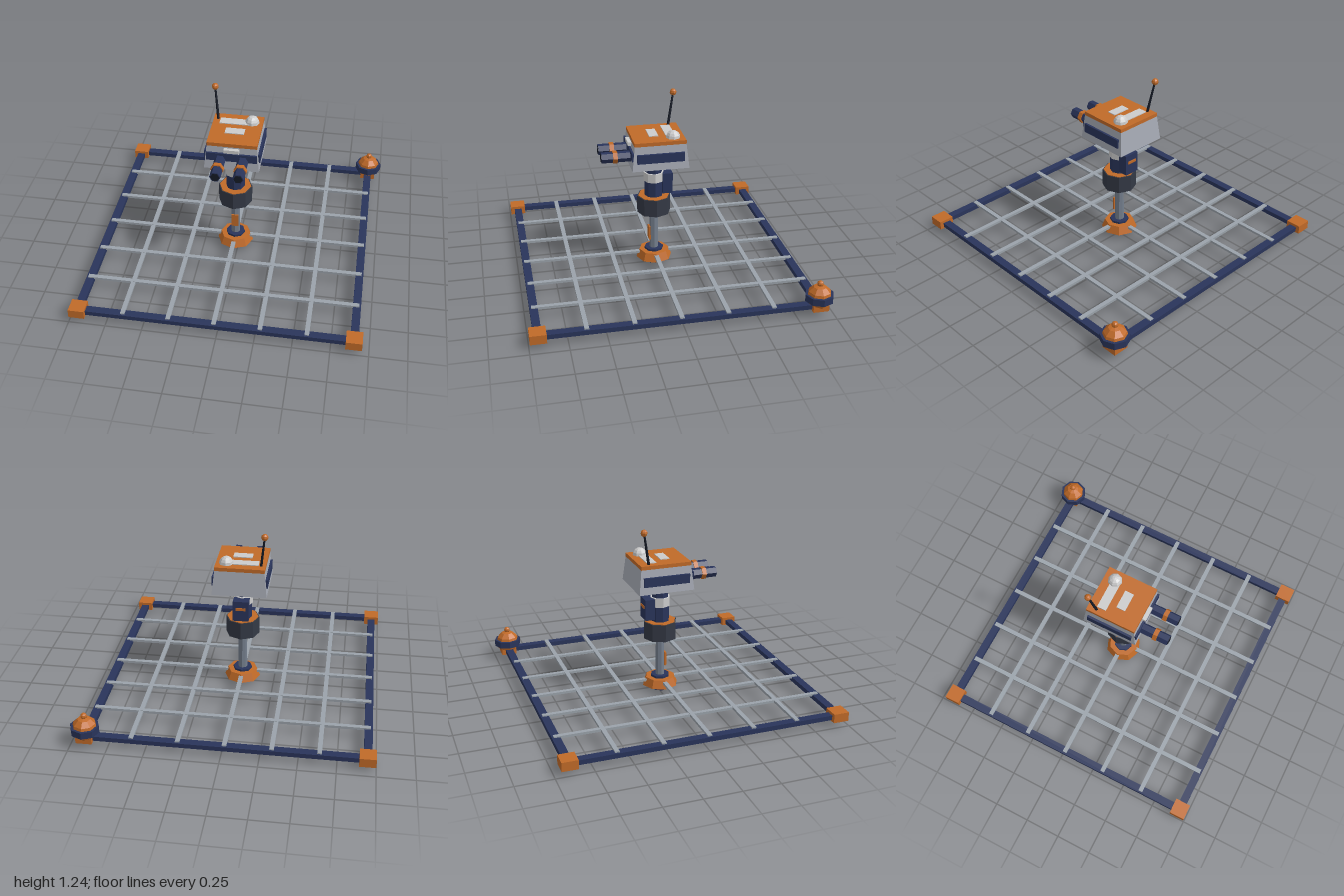
import * as THREE from 'three';

const mat = (color) => new THREE.MeshStandardMaterial({ color, flatShading: true });
const ORANGE = mat(0xc06a28), NAVY = mat(0x29345a), STEEL = mat(0x9aa2aa), LIGHT = mat(0xc4c6c8);
const SHELL = mat(0xa6aab4), DRUM = mat(0x343945), POST = mat(0x747e8c), BLACK = mat(0x151a26);

// Centre of the grid and mast
const CX = -0.0225, CZ = 0.0175, HALF = 0.9225;

export function createModel() {
  const root = new THREE.Group();

  const add = (name, geo, material, x, y, z, parent = root) => {
    const m = new THREE.Mesh(geo, material);
    m.name = name;
    m.position.set(x, y, z);
    parent.add(m);
    return m;
  };
  const box = (name, w, h, d, material, x, y, z, parent) =>
    add(name, new THREE.BoxGeometry(w, h, d), material, x, y, z, parent);
  // Upright prism from y0 to y1 on the given axis
  const drum = (name, rBottom, rTop, y0, y1, material, x = CX, z = CZ, sides = 8) =>
    add(name, new THREE.CylinderGeometry(rTop, rBottom, y1 - y0, sides), material, x, (y0 + y1) / 2, z);

  // Outer frame rails
  for (const s of [-1, 1]) {
    box('frameRail', HALF * 2, 0.032, 0.054, NAVY, CX, 0.065, CZ + s * HALF);
    box('frameRail', 0.054, 0.032, HALF * 2, NAVY, CX + s * HALF, 0.065, CZ);
    for (const t of [-1, 1])
      box('cornerBlock', 0.108, 0.062, 0.108, ORANGE, CX + s * HALF, 0.069, CZ + t * HALF);
  }

  // Grid bars
  for (let i = -2; i <= 2; i++) {
    const o = i * HALF / 3;
    box('gridBarAcross', 1.875, 0.018, 0.03, STEEL, CX, 0.081, CZ + o);
    box('gridBarAlong', 0.03, 0.017, 1.875, STEEL, CX + o, 0.08, CZ);
  }

  // Beacon on the rear corner
  const bx = CX + HALF, bz = CZ - HALF;
  add('beaconBody', new THREE.SphereGeometry(0.086, 8, 6), ORANGE, bx, 0.126, bz);
  drum('beaconBand', 0.097, 0.097, 0.102, 0.15, NAVY, bx, bz);
  add('beaconTip', new THREE.SphereGeometry(0.022, 8, 6), ORANGE, bx, 0.222, bz);

  // Mast foot and post
  drum('foot', 0.055, 0.055, 0, 0.045, NAVY);
  drum('footFlange', 0.128, 0.105, 0.04, 0.099, ORANGE);
  drum('footCollar', 0.067, 0.067, 0.095, 0.114, NAVY);
  drum('post', 0.033, 0.031, 0.1, 0.42, POST);
  box('postStripe', 0.052, 0.1, 0.012, ORANGE, CX, 0.23, CZ + 0.033);

  // Swivel housing and column
  drum('housing', 0.119, 0.119, 0.4, 0.525, DRUM);
  drum('housingUnderside', 0.105, 0.105, 0.396, 0.41, ORANGE);
  drum('housingTop', 0.112, 0.112, 0.515, 0.529, ORANGE);
  drum('lowerColumn', 0.066, 0.066, 0.52, 0.645, NAVY);
  drum('columnRing', 0.072, 0.072, 0.64, 0.705, LIGHT);
  drum('upperColumn', 0.06, 0.06, 0.7, 0.77, NAVY);
  drum('neckPlate', 0.1, 0.1, 0.757, 0.795, NAVY);

  // Control box behind the column
  box('controlBox', 0.11, 0.15, 0.07, NAVY, CX, 0.627, -0.073);
  box('controlBoxStripe', 0.07, 0.02, 0.008, ORANGE, CX, 0.645, -0.109);

  // Head: a box narrowed toward the top
  const head = new THREE.Group();
  head.name = 'head';
  head.position.set(CX, 0, 0.002);
  root.add(head);
  const shell = new THREE.BoxGeometry(0.376, 0.18, 0.394);
  const p = shell.attributes.position;
  for (let i = 0; i < p.count; i++)
    if (p.getY(i) > 0) p.setXYZ(i, p.getX(i) * 0.9, p.getY(i), p.getZ(i) * 0.9);
  shell.computeVertexNormals();
  add('headShell', shell, SHELL, 0, 0.882, 0, head);
  box('headLid', 0.342, 0.026, 0.358, ORANGE, 0, 0.977, 0, head);
  box('roofPanelRear', 0.205, 0.012, 0.065, LIGHT, -0.02, 0.99, -0.088, head);
  box('roofPanelFront', 0.132, 0.012, 0.064, LIGHT, -0.002, 0.99, 0.027, head);
  box('visor', 0.345, 0.058, 0.03, NAVY, 0, 0.889, 0.182, head);
  box('browPanel', 0.104, 0.026, 0.03, LIGHT, 0, 0.942, 0.19, head);
  for (const s of [-1, 1]) box('sidePanel', 0.018, 0.064, 0.328, NAVY, s * 0.182, 0.878, 0, head);
  add('roofDome', new THREE.SphereGeometry(0.05, 8, 4, 0, Math.PI * 2, 0, Math.PI / 2), LIGHT, 0.0985, 0.99, -0.1, head);

  // Twin hexagonal eye barrels
  const barrel = (name, r, z0, z1, material, x) => {
    const g = new THREE.CylinderGeometry(r, r, z1 - z0, 6);
    g.rotateY(Math.PI / 6).rotateX(Math.PI / 2);
    add(name, g, material, x, 0.868, (z0 + z1) / 2);
  };
  for (const x of [CX - 0.077, CX + 0.077]) {
    barrel('eyeBarrel', 0.038, 0.18, 0.396, NAVY, x);
    barrel('eyeRing', 0.045, 0.287, 0.318, ORANGE, x);
    barrel('eyeLens', 0.031, 0.39, 0.399, BLACK, x);
  }

  // Leaning antenna
  const a = new THREE.Vector3(-0.162, 0.985, -0.113), b = new THREE.Vector3(-0.189, 1.22, -0.155);
  const dir = b.clone().sub(a), mid = a.clone().add(b).multiplyScalar(0.5);
  const rod = add('antennaRod', new THREE.CylinderGeometry(0.007, 0.01, dir.length(), 6), BLACK, mid.x, mid.y, mid.z);
  rod.quaternion.setFromUnitVectors(new THREE.Vector3(0, 1, 0), dir.normalize());
  add('antennaTip', new THREE.SphereGeometry(0.024, 8, 6), ORANGE, b.x, b.y, b.z);

  return root;
}
